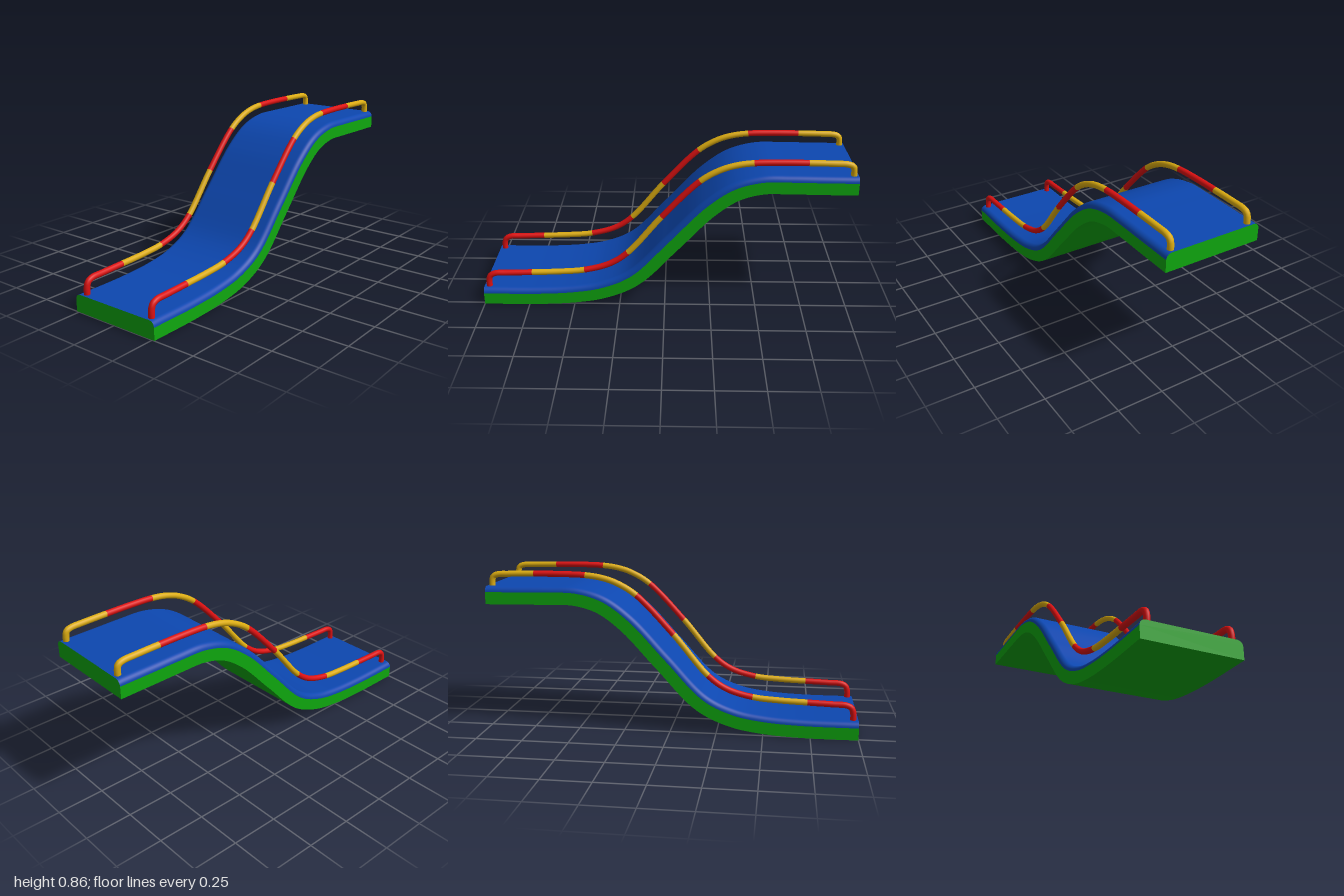
import * as THREE from 'three';

const material = (name, color) => {
  const m = new THREE.MeshStandardMaterial({ color });
  m.name = name;
  return m;
};

const HALF_WIDTH = 0.265, THICKNESS = 0.096, ROUND = 0.03;

// Smooth side-view curve from [z, y] pairs
const sideCurve = (points) =>
  new THREE.CatmullRomCurve3(points.map(([z, y]) => new THREE.Vector3(0, y, z)), false, 'centripetal');

// Sweeps a strip of [x, offset from the top] points along a side-view curve
function sweep(curve, strip, steps = 96) {
  const positions = [], index = [], n = strip.length;
  for (let i = 0; i <= steps; i++) {
    const p = curve.getPointAt(i / steps);
    const t = curve.getTangentAt(i / steps);
    if (i === 0 || i === steps) t.set(0, 0, -1); // square ends
    for (const [x, d] of strip) positions.push(x, p.y - t.z * d, p.z + t.y * d);
  }
  for (let i = 0; i < steps; i++) {
    for (let j = 0; j < n - 1; j++) {
      const a = i * n + j, b = a + 1, c = a + n, e = c + 1;
      index.push(a, b, c, b, e, c);
    }
  }
  const g = new THREE.BufferGeometry();
  g.setAttribute('position', new THREE.Float32BufferAttribute(positions, 3));
  g.setIndex(index);
  g.computeVertexNormals();
  return g;
}

// A stretch of a longer curve
class PartCurve extends THREE.Curve {
  constructor(base, from, to) {
    super();
    Object.assign(this, { base, from, to });
  }
  getPoint(t, target = new THREE.Vector3()) {
    return this.base.getPoint(this.from + (this.to - this.from) * t, target);
  }
}

export function createModel() {
  const model = new THREE.Group();
  model.name = 'slide';
  const blue = material('blue', 0x0d47b0);
  const green = material('green', 0x0fa80f);
  const red = material('red', 0xdd1111);
  const yellow = material('yellow', 0xdcac10);

  const add = (name, geometry, mat, parent = model) => {
    const mesh = new THREE.Mesh(geometry, mat);
    mesh.name = name;
    parent.add(mesh);
    return mesh;
  };

  // Sliding surface with rounded long edges
  const deck = sideCurve([
    [1, 0.096], [0.7, 0.097], [0.5, 0.11], [0.35, 0.138], [0.2, 0.208], [0, 0.415],
    [-0.2, 0.627], [-0.35, 0.733], [-0.5, 0.776], [-0.65, 0.779], [-0.8, 0.777], [-1, 0.775],
  ]);
  const top = [];
  for (const side of [-1, 1]) {
    for (let i = 0; i <= 8; i++) {
      const a = ((side < 0 ? i : 8 - i) / 8) * Math.PI / 2;
      top.push([side * (HALF_WIDTH - ROUND + ROUND * Math.cos(a)), ROUND * (Math.sin(a) - 1)]);
    }
  }
  add('slidingSurface', sweep(deck, top), blue);

  // Base: both sides and the underside
  const W = HALF_WIDTH, H = THICKNESS;
  add('baseLeft', sweep(deck, [[W, -ROUND], [W, -H]]), green);
  add('baseUnderside', sweep(deck, [[W, -H], [-W, -H]]), green);
  add('baseRight', sweep(deck, [[-W, -H], [-W, -ROUND]]), green);

  // End faces
  const section = new THREE.Shape([[-W, -H], ...top, [W, -H]].map(([x, y]) => new THREE.Vector2(x, y)));
  add('frontEnd', new THREE.ShapeGeometry(section), green).position.set(0, 0.096, 1);
  const back = add('backEnd', new THREE.ShapeGeometry(section), green);
  back.position.set(0, 0.775, -1);
  back.rotation.y = Math.PI;

  // Handrails in eight alternating bands
  const railPoints = [
    [0.972, 0.08], [0.972, 0.13], [0.962, 0.16], [0.935, 0.174], [0.87, 0.177],
    [0.73, 0.182], [0.58, 0.188], [0.44, 0.201], [0.3, 0.242], [0.2, 0.312],
    [0.015, 0.53], [-0.185, 0.737], [-0.29, 0.8], [-0.37, 0.826], [-0.46, 0.839],
    [-0.6, 0.843], [-0.74, 0.842], [-0.88, 0.839], [-0.94, 0.836], [-0.967, 0.825],
    [-0.974, 0.8], [-0.974, 0.76],
  ];
  const rail = sideCurve(railPoints);
  const breaks = [0, 5, 7, 9, 10, 11, 14, 16, railPoints.length - 1];
  for (const [name, x] of [['rightHandrail', -0.213], ['leftHandrail', 0.225]]) {
    const group = new THREE.Group();
    group.name = name;
    group.position.x = x;
    for (let i = 0; i < 8; i++) {
      const part = new PartCurve(rail, breaks[i] / (railPoints.length - 1), breaks[i + 1] / (railPoints.length - 1));
      add('railBand' + (i + 1), new THREE.TubeGeometry(part, 24, 0.0163, 16), i % 2 ? yellow : red, group);
    }
    model.add(group);
  }
  return model;
}
